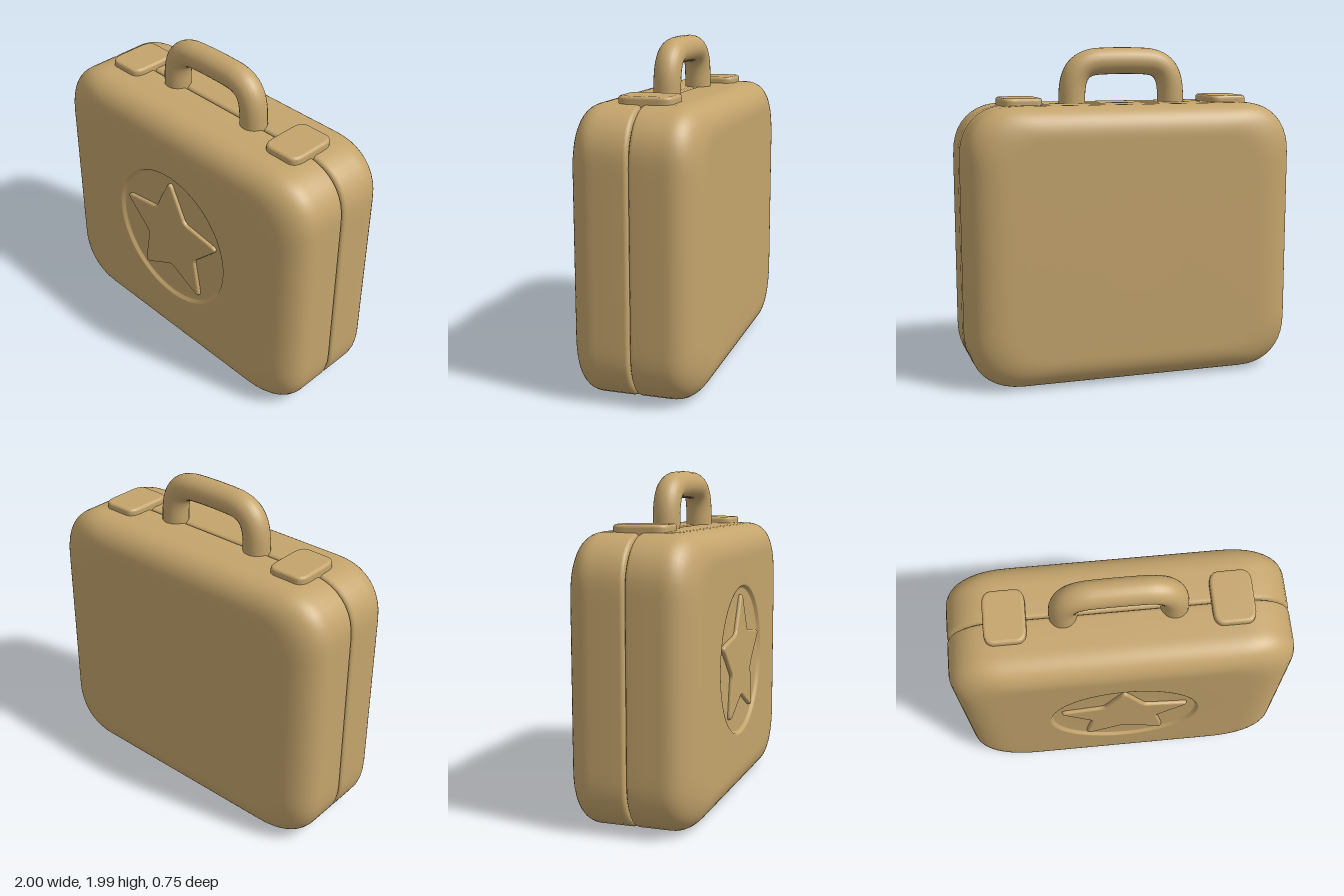
import * as THREE from 'three';

const HALF_H = 0.8275, FACE_Z = 0.375, CORNER = 0.31;

// Rounded outline of the case, counter-clockwise from +z, centred on the origin
function caseOutline() {
  const pts = [];
  const arc = 10, edge = 14, e = 2 / 2.3;
  for (let q = 0; q < 4; q++) {
    const sx = q === 0 || q === 3 ? 1 : -1, sy = q < 2 ? 1 : -1;
    for (let i = 0; i <= arc; i++) {
      const a = ((q % 2 ? arc - i : i) / arc) * Math.PI / 2;
      pts.push([
        sx * (1 - CORNER + CORNER * Math.pow(Math.max(0, Math.cos(a)), e)),
        sy * (HALF_H - CORNER + CORNER * Math.pow(Math.max(0, Math.sin(a)), e)),
      ]);
    }
    // straight edge to the next corner
    const [x, y] = pts[pts.length - 1];
    const [nx, ny] = q % 2 === 0 ? [-x, y] : [x, -y];
    for (let i = 1; i < edge; i++) {
      pts.push([x + (nx - x) * i / edge, y + (ny - y) * i / edge]);
    }
  }
  return pts;
}

// Half of the case: rings from the seam to the face, optionally with a round recess
function shellGeometry(recessed) {
  const outline = caseOutline(), n = outline.length;
  const pos = [], index = [];
  let rings = 0;
  const addRing = (insetX, insetY, z) => {
    for (const [x, y] of outline) {
      pos.push(x * (1 - insetX), y * (1 - insetY / HALF_H), z);
    }
    rings++;
  };
  const addCircle = (r, z) => {
    for (const [x, y] of outline) {
      const a = Math.atan2(y, x);
      pos.push(r * Math.cos(a), 0.0225 + r * Math.sin(a), z);
    }
    rings++;
  };
  // seam lip
  addRing(0.035, 0.035, 0);
  addRing(0.014, 0.014, 0.004);
  addRing(0.004, 0.004, 0.011);
  addRing(0, 0, 0.025);
  addRing(0, 0, 0.12);
  // soft shoulder
  const steps = 14, e = 2 / 2.3, depth = 0.18;
  for (let i = 0; i <= steps; i++) {
    const a = (i / steps) * Math.PI / 2;
    const inset = 1 - Math.pow(Math.max(0, Math.cos(a)), e);
    addRing(0.25 * inset, 0.19 * inset, FACE_Z - depth * (1 - Math.pow(Math.sin(a), e)));
  }
  // face
  let floor = FACE_Z;
  if (recessed) {
    floor = FACE_Z - 0.02;
    addCircle(0.462, FACE_Z);
    addCircle(0.453, FACE_Z - 0.002);
    addCircle(0.443, floor + 0.003);
    addCircle(0.434, floor);
  }
  addCircle(0.3, floor);
  pos.push(0, 0.0225, floor);
  for (let k = 0; k < rings - 1; k++) {
    for (let i = 0; i < n; i++) {
      const a = k * n + i, b = k * n + (i + 1) % n;
      index.push(a, b, b + n, a, b + n, a + n);
    }
  }
  const last = (rings - 1) * n;
  for (let i = 0; i < n; i++) index.push(last + i, last + (i + 1) % n, rings * n);

  const g = new THREE.BufferGeometry();
  g.setAttribute('position', new THREE.Float32BufferAttribute(pos, 3));
  g.setIndex(index);
  g.computeVertexNormals();
  return g;
}

// Closed shape through the points with each corner softened by a fraction of its sides
function softShape(points, amounts) {
  const s = new THREE.Shape(), n = points.length;
  points.forEach((p, i) => {
    const f = amounts[i % amounts.length];
    const start = p.clone().lerp(points[(i + n - 1) % n], f);
    const end = p.clone().lerp(points[(i + 1) % n], f);
    if (i === 0) s.moveTo(start.x, start.y); else s.lineTo(start.x, start.y);
    s.quadraticCurveTo(p.x, p.y, end.x, end.y);
  });
  s.closePath();
  return s;
}

function raisedPlate(shape, depth, bevel) {
  return new THREE.ExtrudeGeometry(shape, {
    depth: depth - bevel, bevelEnabled: true, bevelThickness: bevel, bevelSize: bevel,
    bevelOffset: -bevel, bevelSegments: 4, curveSegments: 8,
  });
}

export function createModel() {
  const model = new THREE.Group();
  model.name = 'briefcase';
  const tan = new THREE.MeshStandardMaterial({ color: 0xc4a46c });
  tan.name = 'tan';
  const add = (name, geometry, x = 0, y = 0, z = 0) => {
    const mesh = new THREE.Mesh(geometry, tan);
    mesh.name = name;
    mesh.position.set(x, y, z);
    model.add(mesh);
    return mesh;
  };

  // two halves of the case
  add('frontShell', shellGeometry(true), 0, HALF_H, 0);
  add('backShell', shellGeometry(false).rotateY(Math.PI), 0, HALF_H, 0);

  // star raised inside the round recess
  const star = [];
  for (let i = 0; i < 10; i++) {
    const r = i % 2 ? 0.212 : 0.425, a = Math.PI / 2 + i * Math.PI / 5;
    star.push(new THREE.Vector2(r * Math.cos(a), r * Math.sin(a)));
  }
  add('starEmblem', raisedPlate(softShape(star, [0.2, 0.1]), 0.03, 0.014), 0, 0.85, FACE_Z - 0.028);

  // carrying handle
  const v = (x, y) => new THREE.Vector3(x, y, 0);
  const path = new THREE.CurvePath();
  path.add(new THREE.LineCurve3(v(-0.317, 1.58), v(-0.312, 1.72)));
  path.add(new THREE.CubicBezierCurve3(v(-0.312, 1.72), v(-0.305, 1.85), v(-0.25, 1.9), v(-0.13, 1.903)));
  path.add(new THREE.QuadraticBezierCurve3(v(-0.13, 1.903), v(0, 1.909), v(0.13, 1.903)));
  path.add(new THREE.CubicBezierCurve3(v(0.13, 1.903), v(0.25, 1.9), v(0.305, 1.85), v(0.312, 1.72)));
  path.add(new THREE.LineCurve3(v(0.312, 1.72), v(0.317, 1.58)));
  add('handle', new THREE.TubeGeometry(path, 72, 0.08, 24, false));

  // latches bridging the seam
  const w = 0.12, d = 0.16;
  const corners = [[-w, -d], [w, -d], [w, d], [-w, d]].map(([x, y]) => new THREE.Vector2(x, y));
  for (const [name, side] of [['leftLatch', 1], ['rightLatch', -1]]) {
    const g = raisedPlate(softShape(corners, [0.25]), 0.075, 0.018).rotateX(-Math.PI / 2);
    add(name, g, side * 0.64, 1.62, -0.01);
  }
  return model;
}
